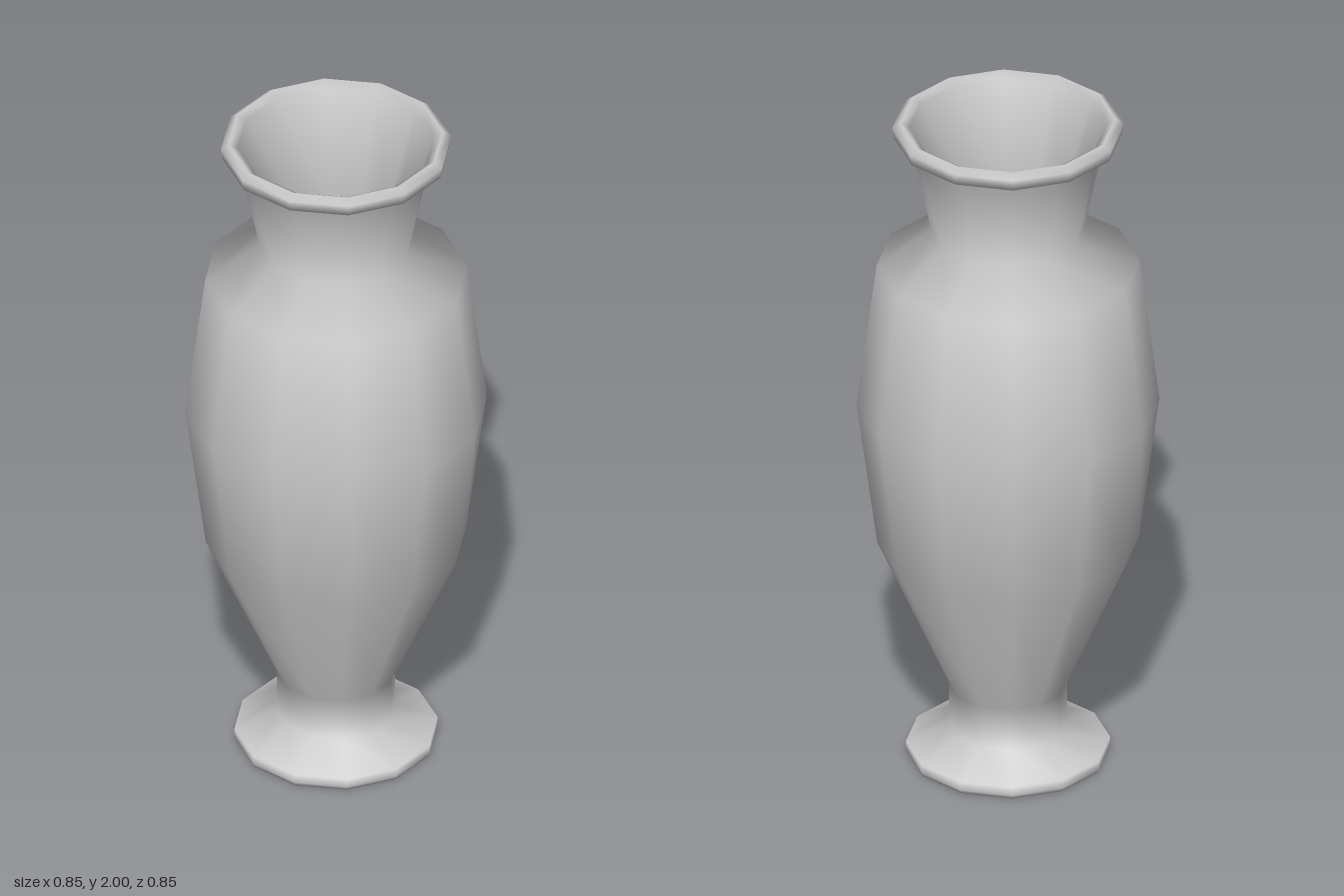
import * as THREE from 'three';

const SIDES = 12;

// Half profile [radius, height]: up the outside, over the lip, down the inside
const foot = [[0, 0], [0.28, 0], [0.285, 0.012], [0.285, 0.037], [0.165, 0.092], [0.165, 0.22]];
const belly = [[0.365, 0.67], [0.423, 1.11], [0.367, 1.55], [0.215, 1.66]];
const lip = [[0.271, 1.935], [0.318, 1.952], [0.323, 1.985], [0.3, 2], [0.275, 1.985]];
const inside = [[0.162, 1.66], [0.317, 1.52], [0.373, 1.11], [0.315, 0.68], [0.115, 0.23], [0.115, 0.11], [0, 0.1]];

export function createModel() {
  const model = new THREE.Group();
  model.name = 'vase';

  // Smooth-shaded twelve-sided vessel with a thick wall and flared neck
  const profile = [...foot, ...belly, ...lip, ...inside].map(([r, y]) => new THREE.Vector2(r, y));
  const vessel = new THREE.Mesh(
    new THREE.LatheGeometry(profile, SIDES),
    new THREE.MeshStandardMaterial({ color: 0xcccccc })
  );
  vessel.name = 'vessel';
  model.add(vessel);
  return model;
}
